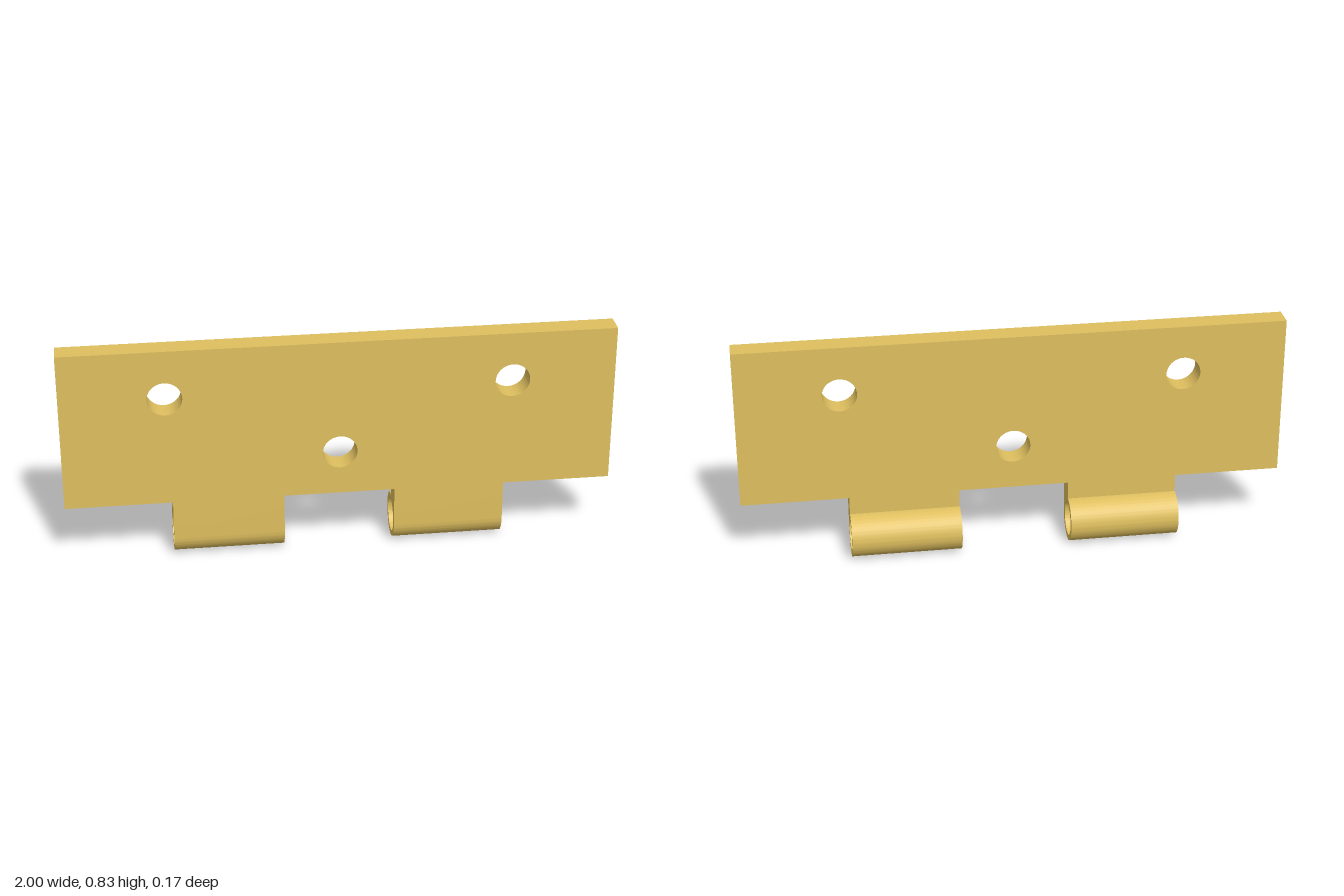
import * as THREE from 'three';
import { toCreasedNormals } from 'three/addons/utils/BufferGeometryUtils.js';

const THICK = 0.083; // plate thickness, also the knuckle's outer radius
const BORE = 0.063; // pin bore and screw hole radius
const PLATE_BOTTOM = 0.233;
const PLATE_TOP = 0.835;

const circle = (x, y, r) => new THREE.Path().absarc(x, y, r, 0, Math.PI * 2, true);

function extrude(shape, depth) {
  const geometry = new THREE.ExtrudeGeometry(shape, { depth, bevelEnabled: false, curveSegments: 32 });
  return toCreasedNormals(geometry, 0.6);
}

export function createModel() {
  const group = new THREE.Group();
  group.name = 'hingeLeaf';
  const brass = new THREE.MeshStandardMaterial({ color: 0xdfbf5f });

  // Flat leaf with three screw holes
  const leaf = new THREE.Shape();
  leaf.moveTo(-1, PLATE_BOTTOM);
  leaf.lineTo(1, PLATE_BOTTOM);
  leaf.lineTo(1, PLATE_TOP);
  leaf.lineTo(-1, PLATE_TOP);
  leaf.closePath();
  for (const [x, y] of [[-0.625, 0.65], [0, 0.4], [0.625, 0.65]]) {
    leaf.holes.push(circle(x, y, BORE));
  }
  const plate = new THREE.Mesh(extrude(leaf, THICK), brass);
  plate.name = 'plate';
  group.add(plate);

  // Knuckle side profile: tab flush with the leaf, curling into the pin barrel
  const profile = new THREE.Shape();
  profile.moveTo(-THICK, PLATE_BOTTOM);
  profile.lineTo(-THICK, THICK);
  profile.absarc(0, THICK, THICK, Math.PI, Math.PI * 2.5, false);
  profile.lineTo(0, PLATE_BOTTOM);
  profile.closePath();
  profile.holes.push(circle(0, THICK, BORE));

  // Two knuckles, extruded along x
  const knuckleGeometry = extrude(profile, 0.405).rotateY(Math.PI / 2);
  for (const [name, x] of [['rightKnuckle', -0.61], ['leftKnuckle', 0.2]]) {
    const knuckle = new THREE.Mesh(knuckleGeometry, brass);
    knuckle.name = name;
    knuckle.position.x = x;
    group.add(knuckle);
  }
  return group;
}
